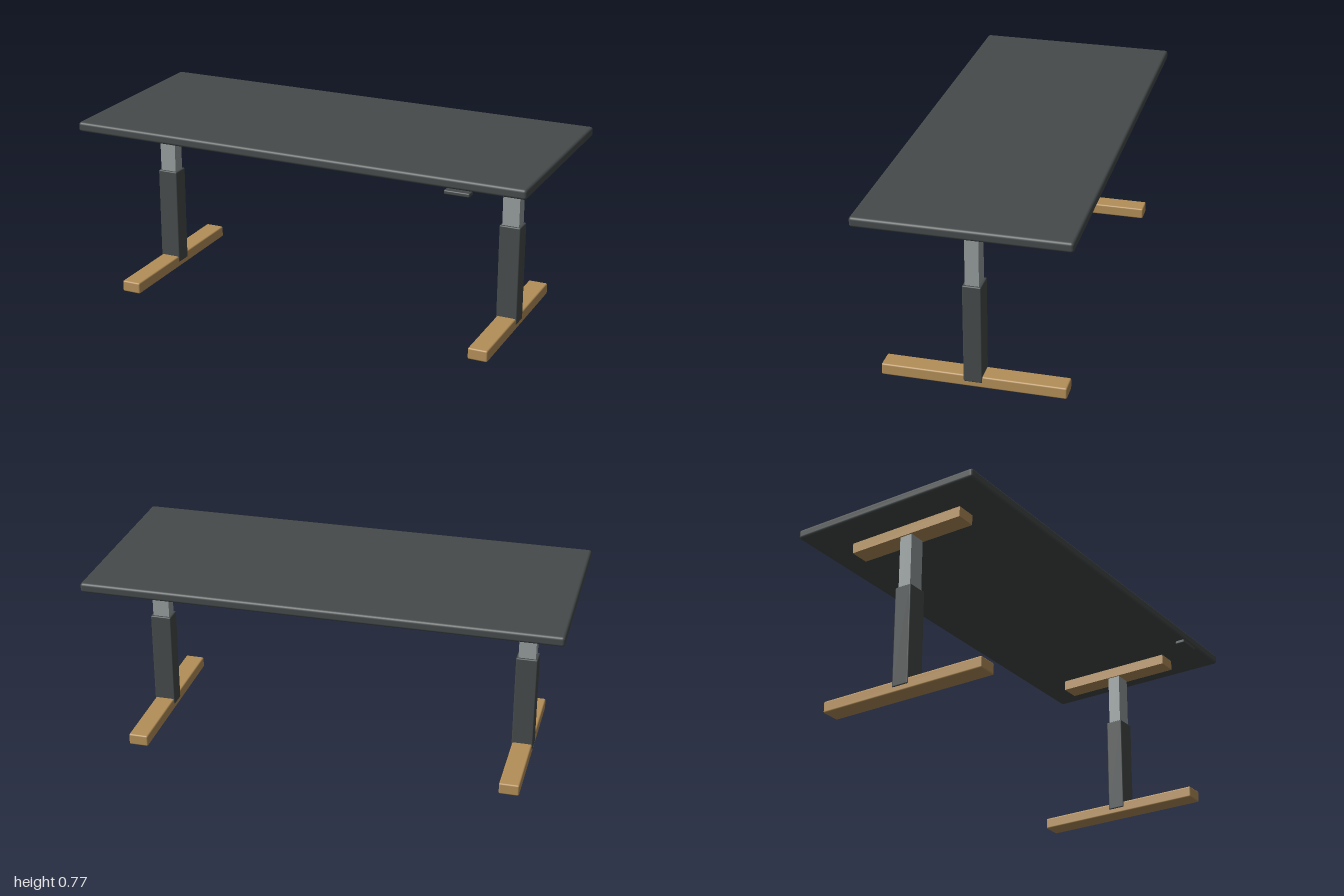
import * as THREE from 'three';
import { RoundedBoxGeometry } from 'three/addons/geometries/RoundedBoxGeometry.js';

export function createModel() {
  const model = new THREE.Group();
  model.name = 'standingDesk';

  const charcoal = new THREE.MeshStandardMaterial({ name: 'charcoal', color: 0x454a4a });
  const wood = new THREE.MeshStandardMaterial({ name: 'wood', color: 0xb48f59 });
  const steel = new THREE.MeshStandardMaterial({ name: 'steel', color: 0x959c9c });

  const midZ = -0.0015;

  // Box spanning y0..y1, with rounded edges when radius is above zero
  function addBox(parent, name, material, [w, d], [y0, y1], radius = 0, x = 0, z = 0) {
    const h = y1 - y0;
    const geometry = radius > 0
      ? new RoundedBoxGeometry(w, h, d, 3, radius)
      : new THREE.BoxGeometry(w, h, d);
    const mesh = new THREE.Mesh(geometry, material);
    mesh.name = name;
    mesh.position.set(x, (y0 + y1) / 2, z);
    parent.add(mesh);
  }

  // Desktop and the height control under its front edge
  addBox(model, 'desktop', charcoal, [2, 0.867], [0.732, 0.774], 0.012, 0, midZ);
  addBox(model, 'heightControl', charcoal, [0.107, 0.045], [0.709, 0.726], 0.005, 0.72, 0.413);

  // Two telescopic legs, each with a foot and a support bracket
  for (const [side, sign] of [['left', 1], ['right', -1]]) {
    const leg = new THREE.Group();
    leg.name = side + 'Leg';
    leg.position.set(sign * 0.807, 0, midZ);
    addBox(leg, 'foot', wood, [0.085, 0.763], [0, 0.05], 0.007);
    addBox(leg, 'outerColumn', charcoal, [0.091, 0.077], [0.023, 0.455], 0.005);
    addBox(leg, 'innerColumn', steel, [0.073, 0.057], [0.4, 0.733]);
    addBox(leg, 'bracket', wood, [0.085, 0.537], [0.685, 0.73]);
    model.add(leg);
  }

  return model;
}
